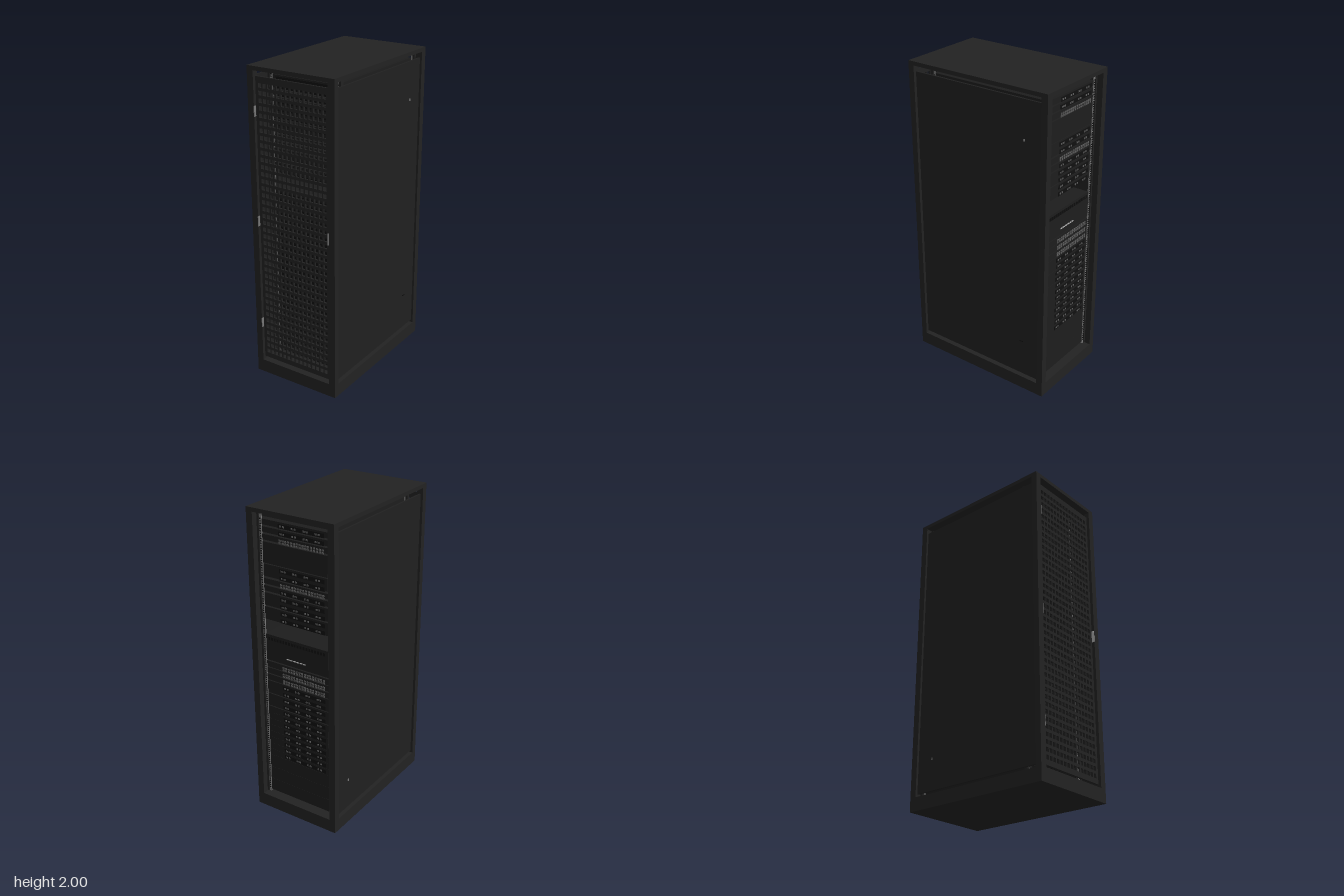
import * as THREE from 'three';
import { mergeGeometries } from 'three/addons/utils/BufferGeometryUtils.js';

const paint = (name, hex) => {
  const m = new THREE.MeshStandardMaterial({ color: hex });
  m.name = name;
  return m;
};

export function createModel() {
  const rack = new THREE.Group();
  rack.name = 'serverRack';
  const black = paint('frameBlack', 0x222222);
  const panelBlack = paint('panelBlack', 0x202020);
  const unitBlack = paint('unitBlack', 0x1d1d1d);
  const dark = paint('recessBlack', 0x101010);
  const grey = paint('railGrey', 0x777777);
  const portGrey = paint('portGrey', 0x5c5c5c);
  const light = paint('lightGrey', 0xb0b0b0);

  // one mesh from many boxes, each given as [x0, x1, y0, y1, z0, z1]
  const boxes = (name, mat, list) => {
    const mesh = new THREE.Mesh(mergeGeometries(list.map(([x0, x1, y0, y1, z0, z1]) =>
      new THREE.BoxGeometry(x1 - x0, y1 - y0, z1 - z0)
        .translate((x0 + x1) / 2, (y0 + y1) / 2, (z0 + z1) / 2))), mat);
    mesh.name = name;
    rack.add(mesh);
    return mesh;
  };
  const mirror = (b) => [b, [-b[1], -b[0], ...b.slice(2)]];

  // outer frame
  boxes('base', black, [[-0.3, 0.3, 0, 0.085, -0.5, 0.5]]);
  boxes('roof', black, [[-0.3, 0.3, 1.975, 2, -0.5, 0.5]]);
  boxes('cornerPosts', black, [
    ...mirror([0.257, 0.3, 0.085, 1.975, 0.461, 0.5]),
    ...mirror([0.257, 0.3, 0.085, 1.975, -0.5, -0.457]),
  ]);

  // side panels, set in a little from the posts
  boxes('sidePanels', panelBlack, mirror([0.277, 0.289, 0.105, 1.938, -0.453, 0.453]));
  boxes('panelLocks', grey, [
    [0.289, 0.292, 1.69, 1.705, -0.343, -0.334],
    [-0.292, -0.289, 0.295, 0.31, -0.343, -0.334],
  ]);
  boxes('panelLatch', dark, [[0.289, 0.292, 0.345, 0.352, -0.345, -0.32]]);

  // perforated front door
  const U = 0.0445, top = 1.93;
  const door = new THREE.Shape();
  const rect = (path, x0, x1, y0, y1) => path.moveTo(x0, y0).lineTo(x1, y0).lineTo(x1, y1).lineTo(x0, y1).closePath();
  rect(door, -0.253, 0.253, 0.107, 1.94);
  const cols = 15, pitch = 0.0318;
  for (let r = 1; r < 41; r++) {
    for (let c = 0; c < cols; c++) {
      const x = (c - (cols - 1) / 2) * pitch, y = top - r * U + 0.003;
      const hole = new THREE.Path();
      rect(hole, x - 0.0115, x + 0.0115, y - 0.013, y + 0.013);
      door.holes.push(hole);
    }
  }
  const doorMesh = new THREE.Mesh(
    new THREE.ExtrudeGeometry(door, { depth: 0.012, bevelEnabled: false }), black);
  doorMesh.name = 'frontDoor';
  doorMesh.position.z = 0.472;
  rack.add(doorMesh);
  boxes('doorHinges', grey, [1.735, 1.05, 0.355].map((y) => [-0.259, -0.255, y - 0.032, y + 0.032, 0.484, 0.501]));
  boxes('doorHandle', light, [[0.252, 0.256, 1.02, 1.095, 0.484, 0.501]]);

  // mounting rails with square slots, tied together at top
  const rails = [], flanges = [], slots = [];
  for (const [z, s] of [[0.358, 1], [-0.452, -1]]) {
    rails.push(...mirror([0.228, 0.242, 0.09, 1.974, z - 0.004, z + 0.004]));
    flanges.push(...mirror([0.242, 0.256, 0.09, 1.974, z - 0.01, z + 0.01]));
    for (let i = 0; i < 41 * 3; i++) {
      const y = 0.12 + i * U / 3, a = z + s * 0.004;
      slots.push(...mirror([0.231, 0.239, y - 0.0035, y + 0.0035,
        Math.min(a, a + s * 0.002), Math.max(a, a + s * 0.002)]));
    }
  }
  boxes('mountingRails', grey, rails);
  boxes('railFlanges', black, flanges);
  boxes('railSlots', dark, slots);
  boxes('topTies', black, [0.35, -0.445].map((z) => [-0.228, 0.228, 1.945, 1.964, z - 0.006, z + 0.006]));

  // rack units from the top down: [height in U, kind, gap below]
  const stack = [
    [1, 'server', 0.011], [1, 'server', 0.011], [1, 'grid', 0.011],
    [3, 'blank', 0.005], [2, 'server', 0.013], [1, 'grid', 0.011], [1, 'server', 0.011],
    [2, 'server', 0.009], [2, 'server', 0.009], [2, 'empty', 0],
    [4, 'patch', 0.008], [1, 'grid', 0.005], [1, 'grid', 0.007], [1, 'grid', 0.005],
    [2, 'server', 0.005], [2, 'server', 0.005],
    ...Array(8).fill([1, 'server', 0.0008]),
    ...Array(3).fill([2, 'blank', 0.0008]),
  ];
  const units = [], ports = [], plates = [], vents = [], labels = [];
  const back = -0.455;
  let y = top;
  for (const [h, kind, gap] of stack) {
    const y1 = y, y0 = y - h * U + gap;
    y -= h * U;
    if (kind === 'empty') continue;
    units.push([-0.225, 0.225, y0, y1, back, 0.36]);
    // front vent plates, one per unit of height
    for (let i = 0; i < h; i++) {
      const c = y1 - (i + 0.5) * U;
      plates.push([-0.2, 0.2, c - 0.013, c + 0.013, 0.36, 0.363]);
      // rear sockets in four columns
      if (kind === 'server') {
        plates.push([-0.205, 0.11, c - 0.014, c + 0.012, back - 0.002, back]);
        for (let k = 0; k < 4; k++) {
          for (const dx of [-0.014, 0.006]) {
            const x = 0.08 - k * 0.08 + dx;
            ports.push([x, x + 0.011, c - 0.006, c + 0.004, back - 0.005, back - 0.002]);
          }
        }
      }
      // rear rows of network ports
      if (kind === 'grid') {
        for (let k = 0; k < 16; k++) {
          for (const dy of [-0.011, 0.004]) {
            const x = 0.1 - k * 0.0197;
            vents.push([x - 0.006, x + 0.006, c + dy - 0.005, c + dy + 0.005, back - 0.004, back]);
          }
        }
      }
    }
    // rear cable panel with pale tags
    if (kind === 'patch') {
      for (let k = 0; k < 20; k++) {
        const x = 0.2 - k * 0.021;
        plates.push([x - 0.007, x + 0.007, y1 - 0.035, y1 - 0.015, back - 0.003, back]);
      }
      for (let k = 0; k < 6; k++) {
        const x = 0.065 - k * 0.024;
        labels.push([x - 0.009, x + 0.009, 1.085, 1.091, back - 0.004, back]);
      }
    }
  }
  boxes('rackUnits', unitBlack, units);
  boxes('ventPlates', dark, plates);
  boxes('powerSockets', portGrey, ports);
  boxes('networkPorts', portGrey, vents);
  boxes('cableTags', light, labels);
  return rack;
}
